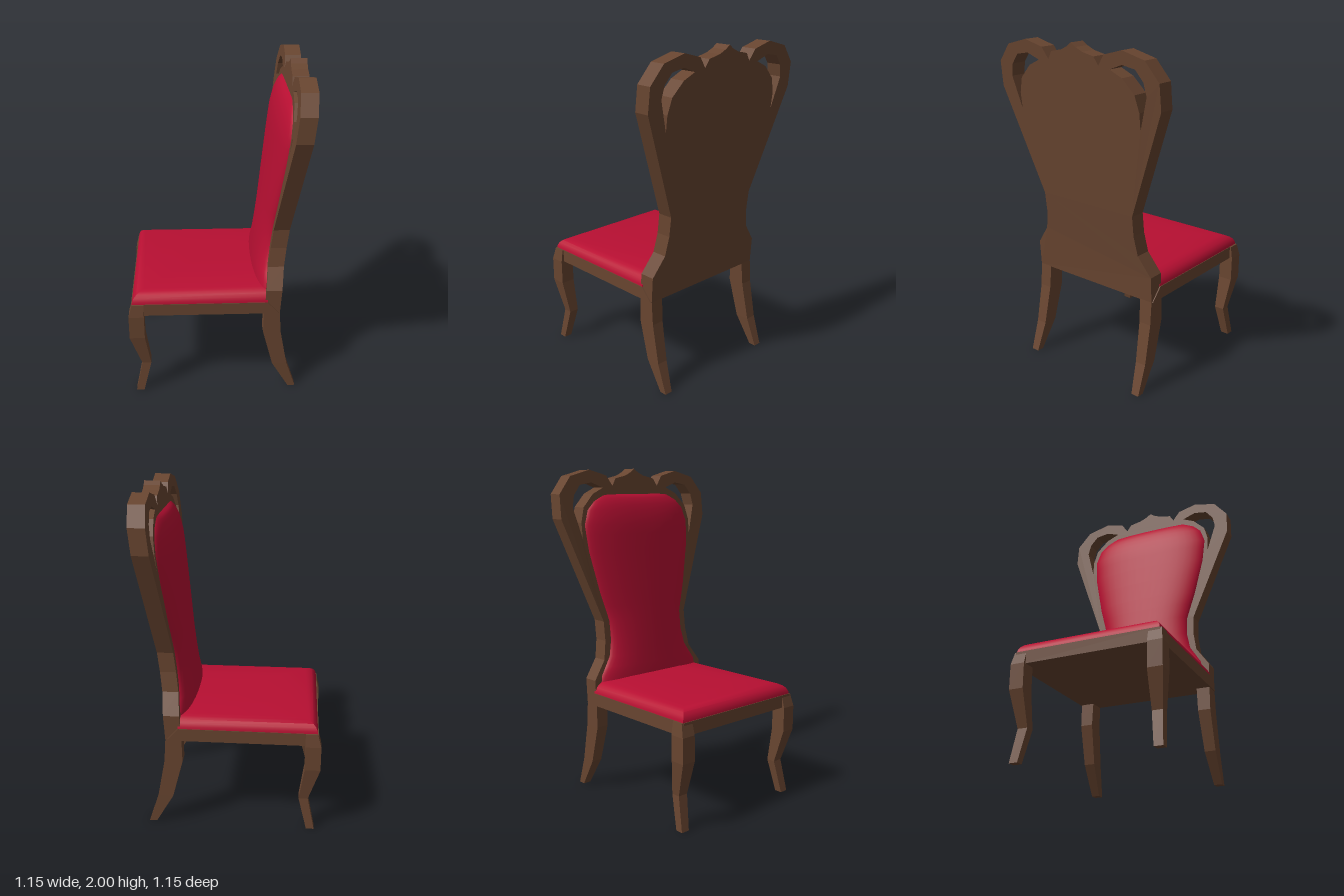
import * as THREE from 'three';
import { toCreasedNormals } from 'three/addons/utils/BufferGeometryUtils.js';

// Local frame: the chair faces -x, its width runs along z.
const wood = new THREE.MeshStandardMaterial({ color: 0x684530 });
wood.name = 'brown wood';
const fabric = new THREE.MeshStandardMaterial({ color: 0xb80f32 });
fabric.name = 'red upholstery';

// Linear interpolation through [key, value] pairs
function lookup(table, k) {
  for (let i = 1; i < table.length; i++) {
    const [k0, v0] = table[i - 1], [k1, v1] = table[i];
    if (k <= k1 || i === table.length - 1) return v0 + (v1 - v0) * (k - k0) / (k1 - k0);
  }
}

// Stack of rectangles [y, xMin, xMax, zMin, zMax] joined from bottom to top, with caps
function loft(sections, crease) {
  const rings = sections.map(([y, x0, x1, z0, z1]) =>
    [[x0, y, z1], [x1, y, z1], [x1, y, z0], [x0, y, z0]]);
  const pos = [];
  const quad = (a, b, c, d) => pos.push(...a, ...b, ...c, ...a, ...c, ...d);
  for (let i = 0; i + 1 < rings.length; i++) {
    for (let j = 0; j < 4; j++) {
      const k = (j + 1) % 4;
      quad(rings[i][j], rings[i][k], rings[i + 1][k], rings[i + 1][j]);
    }
  }
  const top = rings[rings.length - 1], low = rings[0];
  quad(top[0], top[1], top[2], top[3]);
  quad(low[3], low[2], low[1], low[0]);
  const geo = new THREE.BufferGeometry();
  geo.setAttribute('position', new THREE.Float32BufferAttribute(pos, 3));
  geo.computeVertexNormals();
  return crease ? toCreasedNormals(geo, crease) : geo;
}

function add(parent, name, geo, mat) {
  const mesh = new THREE.Mesh(geo, mat);
  mesh.name = name;
  parent.add(mesh);
}

// Front face of the leaning backrest
const lean = [[0.56, 0.28], [0.72, 0.29], [1.07, 0.33], [1.7, 0.4], [2, 0.43]];

function backPanel() {
  // Half outline from the bottom corner up to the central peak
  const half = [[0.438, 0.56], [0.438, 0.716], [0.355, 0.833], [0.335, 0.95], [0.335, 1.07],
    [0.575, 1.7], [0.573, 1.846], [0.488, 1.952], [0.345, 1.99], [0.223, 1.957],
    [0.18, 1.894], [0.152, 1.94], [0.074, 1.957], [0.03, 1.978]];
  // Opening inside a scroll
  const opening = [[0.435, 1.58], [0.488, 1.767], [0.472, 1.84], [0.424, 1.9], [0.34, 1.915],
    [0.255, 1.883], [0.334, 1.846], [0.41, 1.767], [0.435, 1.676]];
  const points = (list, s) => list.map(([x, y]) => new THREE.Vector2(s * x, y));
  const shape = new THREE.Shape([...points(half, 1), new THREE.Vector2(0, 2),
    ...points(half, -1).reverse()]);
  for (const s of [1, -1]) shape.holes.push(new THREE.Path(points(opening, s)));
  const geo = new THREE.ExtrudeGeometry(shape, { depth: 0.095, bevelEnabled: false });
  // Turn the panel to face -x and lean it along the curve
  const p = geo.attributes.position;
  for (let i = 0; i < p.count; i++) {
    const x = p.getX(i), y = p.getY(i), z = p.getZ(i);
    p.setXYZ(i, lookup(lean, y) + z, y, -x);
  }
  geo.computeVertexNormals();
  return geo;
}

function backCushion() {
  const width = [[0.69, 0.395], [0.74, 0.385], [0.85, 0.315], [0.95, 0.293], [1.07, 0.293],
    [1.25, 0.345], [1.5, 0.4], [1.66, 0.415], [1.75, 0.385], [1.8, 0.335], [1.845, 0.25]];
  const rows = [0.69, 0.74, 0.79, 0.85, 0.95, 1.07, 1.16, 1.25, 1.38, 1.5, 1.6, 1.66,
    1.71, 1.75, 1.78, 1.8, 1.82, 1.835, 1.845];
  const cols = 20, pos = [], index = [];
  rows.forEach((y, r) => {
    const t = Math.max(0, (y - 1.62) / 0.225);
    const fade = Math.sqrt(Math.max(0, 1 - t * t));
    for (let c = 0; c <= cols; c++) {
      const s = -Math.cos(Math.PI * c / cols);
      const bulge = 0.072 * fade * Math.pow(Math.max(0, 1 - Math.pow(Math.abs(s), 2.5)), 0.6);
      pos.push(lookup(lean, y) + 0.004 - bulge, y, s * lookup(width, y));
      if (r && c) {
        const d = r * (cols + 1) + c, a = d - cols - 2;
        index.push(a, a + 1, d, a, d, d - 1);
      }
    }
  });
  const geo = new THREE.BufferGeometry();
  geo.setAttribute('position', new THREE.Float32BufferAttribute(pos, 3));
  geo.setIndex(index);
  geo.computeVertexNormals();
  return geo;
}

export function createModel() {
  const model = new THREE.Group();
  model.name = 'chair';
  const chair = new THREE.Group();
  chair.name = 'chairBody';
  chair.rotation.y = -THREE.MathUtils.degToRad(6);
  chair.position.set(0.005, 0, -0.05);
  model.add(chair);

  add(chair, 'backPanel', backPanel(), wood);
  add(chair, 'backCushion', backCushion(), fabric);

  // Seat frame and domed cushion, which runs straight into the backrest
  add(chair, 'seatFrame', loft([[0.56, -0.52, 0.37, -0.444, 0.444],
    [0.637, -0.52, 0.3, -0.444, 0.444]]), wood);
  const dome = [[0.63, 0], [0.65, 0.002], [0.672, 0.012], [0.688, 0.028], [0.7, 0.05],
    [0.706, 0.075], [0.718, 0.24], [0.72, 0.36]];
  add(chair, 'seatCushion', loft(dome.map(([y, d]) =>
    [y, -0.516 + d, 0.3, -0.441 + d, 0.441 - d]), 0.7), fabric);

  // Curved legs: [y, xMin, xMax, inner z, outer z]
  const frontLeg = [[0, -0.512, -0.465, 0.395, 0.447], [0.2, -0.47, -0.415, 0.37, 0.432],
    [0.41, -0.537, -0.445, 0.373, 0.462], [0.56, -0.537, -0.445, 0.375, 0.463],
    [0.637, -0.516, -0.445, 0.375, 0.452]];
  const backLeg = [[0, 0.445, 0.49, 0.385, 0.435], [0.18, 0.34, 0.43, 0.37, 0.438],
    [0.42, 0.277, 0.385, 0.36, 0.438], [0.565, 0.28, 0.375, 0.355, 0.438]];
  for (const side of [1, -1]) {
    const place = (leg) => leg.map(([y, x0, x1, zi, zo]) =>
      side > 0 ? [y, x0, x1, zi, zo] : [y, x0, x1, -zo, -zi]);
    add(chair, 'frontLeg', loft(place(frontLeg)), wood);
    add(chair, 'backLeg', loft(place(backLeg)), wood);
  }
  return model;
}
